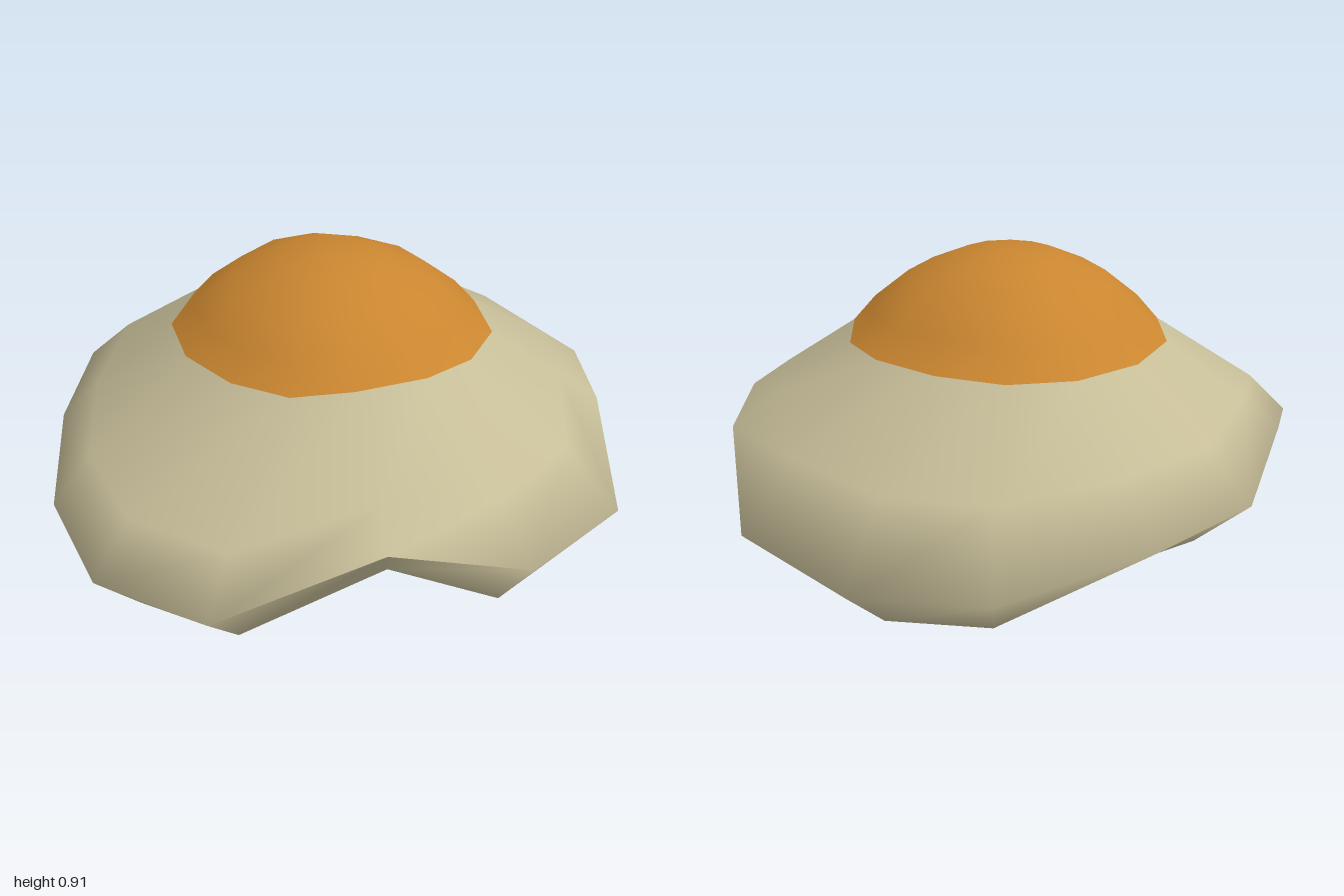
import * as THREE from 'three';

// Outer rim, lower lip and yolk edge, [x, y, z], clockwise from the back
const rim = [[-0.26, 0.17, -1], [0.16, 0.24, -0.99], [0.53, 0.39, -0.66], [0.72, 0.41, -0.38], [0.95, 0.28, 0],
  [0.85, 0.28, 0.4], [0.52, 0.4, 0.69], [0.11, 0.22, 1], [-0.29, 0.22, 0.98], [-0.56, 0.29, 0.78],
  [-0.75, 0.37, 0.44], [-0.95, 0.31, -0.02], [-0.89, 0.28, -0.41], [-0.64, 0.19, -0.82]];
const lip = [[-0.2, 0, -0.78], [0.13, 0.12, -0.75], [0.42, 0.245, -0.5], [0.6, 0.26, -0.26], [0.8, 0.12, 0.02],
  [0.715, 0.095, 0.34], [0.45, 0.245, 0.55], [0.09, 0.045, 0.8], [-0.25, 0.045, 0.8], [-0.46, 0.12, 0.62],
  [-0.6, 0.22, 0.35], [-0.74, 0.135, 0], [-0.64, 0.115, -0.3], [-0.5, 0.02, -0.65]];
const edge = [[-0.13, 0.65, -0.47], [0.1, 0.65, -0.47], [0.28, 0.645, -0.39], [0.42, 0.65, -0.22], [0.45, 0.67, 0],
  [0.4, 0.695, 0.2], [0.25, 0.695, 0.37], [0.08, 0.675, 0.46], [-0.12, 0.67, 0.46], [-0.33, 0.66, 0.37],
  [-0.48, 0.655, 0.21], [-0.53, 0.65, -0.01], [-0.48, 0.65, -0.24], [-0.34, 0.65, -0.4]];
const centre = [-0.03, 0.91, 0];
const sharpRim = [2, 3, 6]; // rim points at the raised arches keep a hard edge
const N = rim.length;
const lerp = THREE.MathUtils.lerp;

// Ring between the yolk edge and its centre, at a given radius and rise
const domeRing = (radius, rise) => edge.map(p =>
  [lerp(centre[0], p[0], radius), lerp(p[1], centre[1], rise), lerp(centre[2], p[2], radius)]);

// Bulging ring partway down the white
const slope = rim.map((o, i) => {
  const p = edge[i], t = 0.64 + 0.11 * Math.max(0, o[2]);
  const bulge = Math.max(0, 0.43 - o[1]) * 0.22;
  return [lerp(p[0], o[0], t), lerp(p[1], o[1], t) + bulge, lerp(p[2], o[2], t)];
});

// Smooth skin over closed rings, each joined to the next
function skin(rings) {
  const index = [];
  for (let r = 0; r < rings.length - 1; r++) {
    for (let i = 0; i < N; i++) {
      const j = (i + 1) % N, a = r * N, b = a + N;
      index.push(b + i, a + i, b + j, a + i, a + j, b + j);
    }
  }
  const geo = new THREE.BufferGeometry();
  geo.setAttribute('position', new THREE.Float32BufferAttribute(rings.flat(2), 3));
  geo.setIndex(index);
  geo.computeVertexNormals();
  return geo;
}

// Some ring bands of a skin, keeping its shared normals
function bands(geo, from, to) {
  const part = geo.clone();
  part.setIndex(Array.from(geo.index.array.slice(from * N * 6, to * N * 6)));
  return part;
}

// Round the shading over a seam between two skins, except at the sharp points
function softenSeam(geoA, firstA, geoB, firstB, sharp) {
  const a = geoA.attributes.normal, b = geoB.attributes.normal;
  for (let i = 0; i < N; i++) {
    if (sharp.includes(i)) continue;
    const n = new THREE.Vector3().fromBufferAttribute(a, firstA + i);
    n.add(new THREE.Vector3().fromBufferAttribute(b, firstB + i)).normalize();
    a.setXYZ(firstA + i, n.x, n.y, n.z);
    b.setXYZ(firstB + i, n.x, n.y, n.z);
  }
}

export function createModel() {
  // The egg is an open sheet, seen from above and below
  const white = new THREE.MeshStandardMaterial({ color: 0xc6bd98, side: THREE.DoubleSide });
  white.name = 'eggWhite';
  const orange = new THREE.MeshStandardMaterial({ color: 0xca8630, side: THREE.DoubleSide });
  orange.name = 'yolkOrange';

  const group = new THREE.Group();
  const add = (name, geo, material) => {
    const mesh = new THREE.Mesh(geo, material);
    mesh.name = name;
    group.add(mesh);
  };

  // Yolk dome running into the sloping white
  const upper = skin([domeRing(0, 1), domeRing(0.34, 0.94), domeRing(0.64, 0.67), domeRing(0.86, 0.32),
    edge, slope, rim]);
  for (let i = 0; i < N; i++) upper.attributes.normal.setXYZ(i, 0, 1, 0);

  // Rim folded under and inwards
  const foldedRim = skin([rim, lip]);
  softenSeam(upper, 6 * N, foldedRim, 0, sharpRim);

  add('yolk', bands(upper, 0, 4), orange);
  add('eggWhite', bands(upper, 4, 6), white);
  add('foldedRim', foldedRim, white);
  return group;
}
